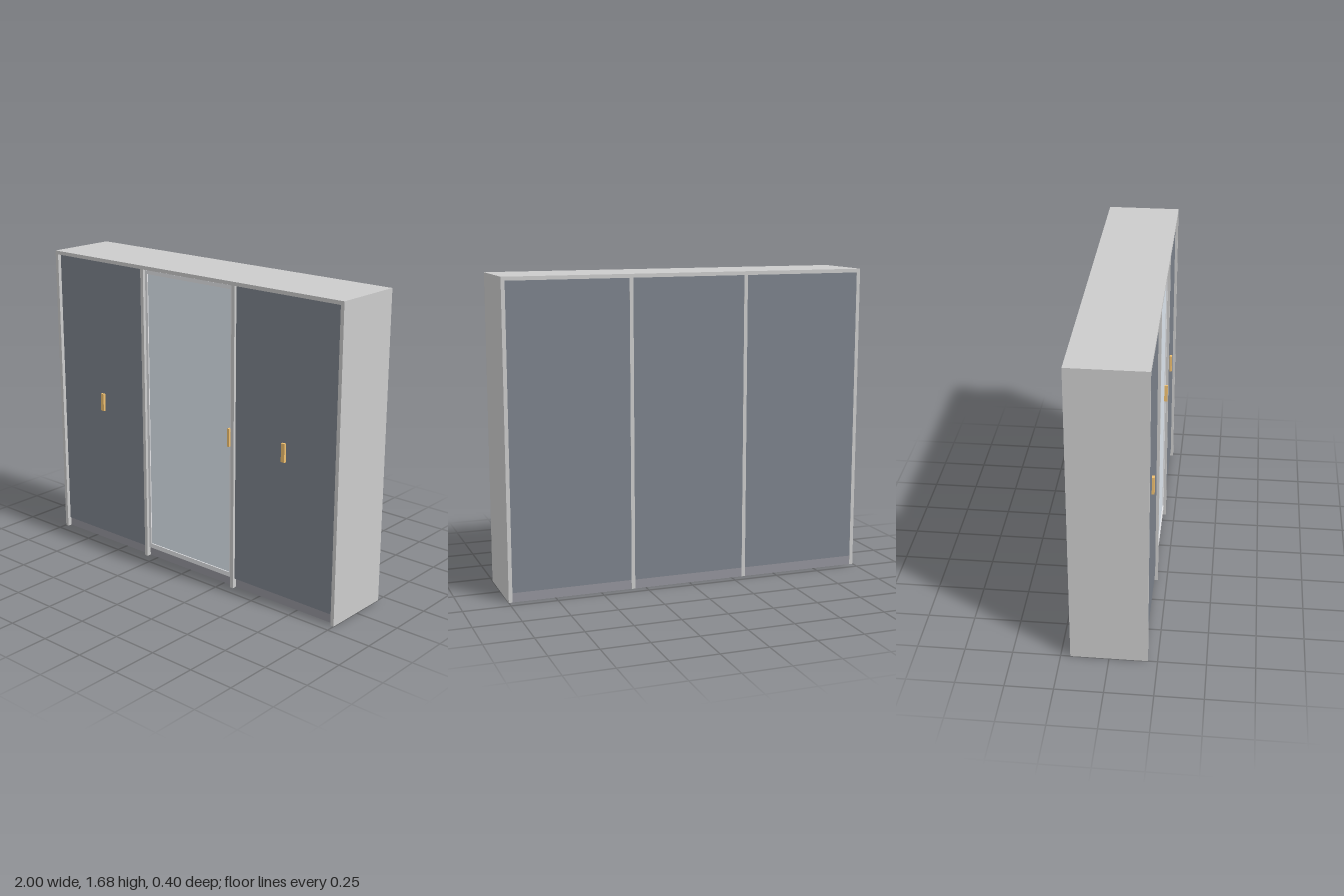
import * as THREE from 'three';

const material = (color) => new THREE.MeshStandardMaterial({ color });

export function createModel() {
  const model = new THREE.Group();
  const grey = material(0xcccccc);
  const slate = material(0x7c828c);
  const plinthGrey = material(0x94949c);
  const mirrorBlue = material(0xdfe8f0);
  const paleFrame = material(0xe4e5e8);
  const brass = material(0xf0c070);

  // Box given by its minimum and maximum corners
  function box(name, mat, [x0, y0, z0], [x1, y1, z1], parent = model) {
    const mesh = new THREE.Mesh(new THREE.BoxGeometry(x1 - x0, y1 - y0, z1 - z0), mat);
    mesh.position.set((x0 + x1) / 2, (y0 + y1) / 2, (z0 + z1) / 2);
    mesh.name = name;
    parent.add(mesh);
    return mesh;
  }

  // Carcass: top, outer sides and the two dividers
  box('topPanel', grey, [-0.98, 1.66, -0.2], [0.98, 1.68, 0.2]);
  for (const s of [-1, 1]) {
    const side = s < 0 ? 'right' : 'left';
    box(side + 'SidePanel', grey, [s * 0.99 - 0.01, 0, -0.2], [s * 0.99 + 0.01, 1.68, 0.2]);
    box(side + 'Divider', grey, [s * 0.32 - 0.01, 0, -0.2], [s * 0.32 + 0.01, 1.66, 0.2]);
  }

  // Back panels and recessed plinth, one per bay
  const bays = [['right', -0.98, -0.33], ['middle', -0.31, 0.31], ['left', 0.33, 0.98]];
  for (const [name, x0, x1] of bays) {
    box(name + 'BackPanel', slate, [x0, 0.05, -0.199], [x1, 1.66, -0.185]);
    box(name + 'Plinth', plinthGrey, [x0, 0.001, -0.199], [x1, 0.05, 0.175]);
  }
  // Underside covering the bays between the side panels
  box('basePlate', plinthGrey, [-0.98, 0, -0.199], [0.98, 0.004, 0.175]);

  // Slate outer doors with brass bar handles
  for (const s of [-1, 1]) {
    const side = s < 0 ? 'right' : 'left';
    const door = new THREE.Group();
    door.name = side + 'Door';
    model.add(door);
    box('doorPanel', slate, [s * 0.652 - 0.322, 0.052, 0.165], [s * 0.652 + 0.322, 1.656, 0.185], door);
    box('doorHandle', brass, [s * 0.652 - 0.011, 0.8, 0.185], [s * 0.652 + 0.011, 0.9, 0.199], door);
  }

  // Mirrored middle door in a slim raised frame
  const door = new THREE.Group();
  door.name = 'mirrorDoor';
  model.add(door);
  box('mirror', mirrorBlue, [-0.292, 0.078, 0.165], [0.292, 1.636, 0.18], door);
  box('bottomRail', paleFrame, [-0.308, 0.052, 0.165], [0.308, 0.078, 0.186], door);
  box('topRail', paleFrame, [-0.308, 1.636, 0.165], [0.308, 1.656, 0.186], door);
  for (const s of [-1, 1]) {
    box('stile', paleFrame, [s * 0.3 - 0.008, 0.078, 0.165], [s * 0.3 + 0.008, 1.636, 0.186], door);
  }
  box('mirrorDoorHandle', brass, [0.285, 0.8, 0.18], [0.296, 0.9, 0.199], door);

  return model;
}
